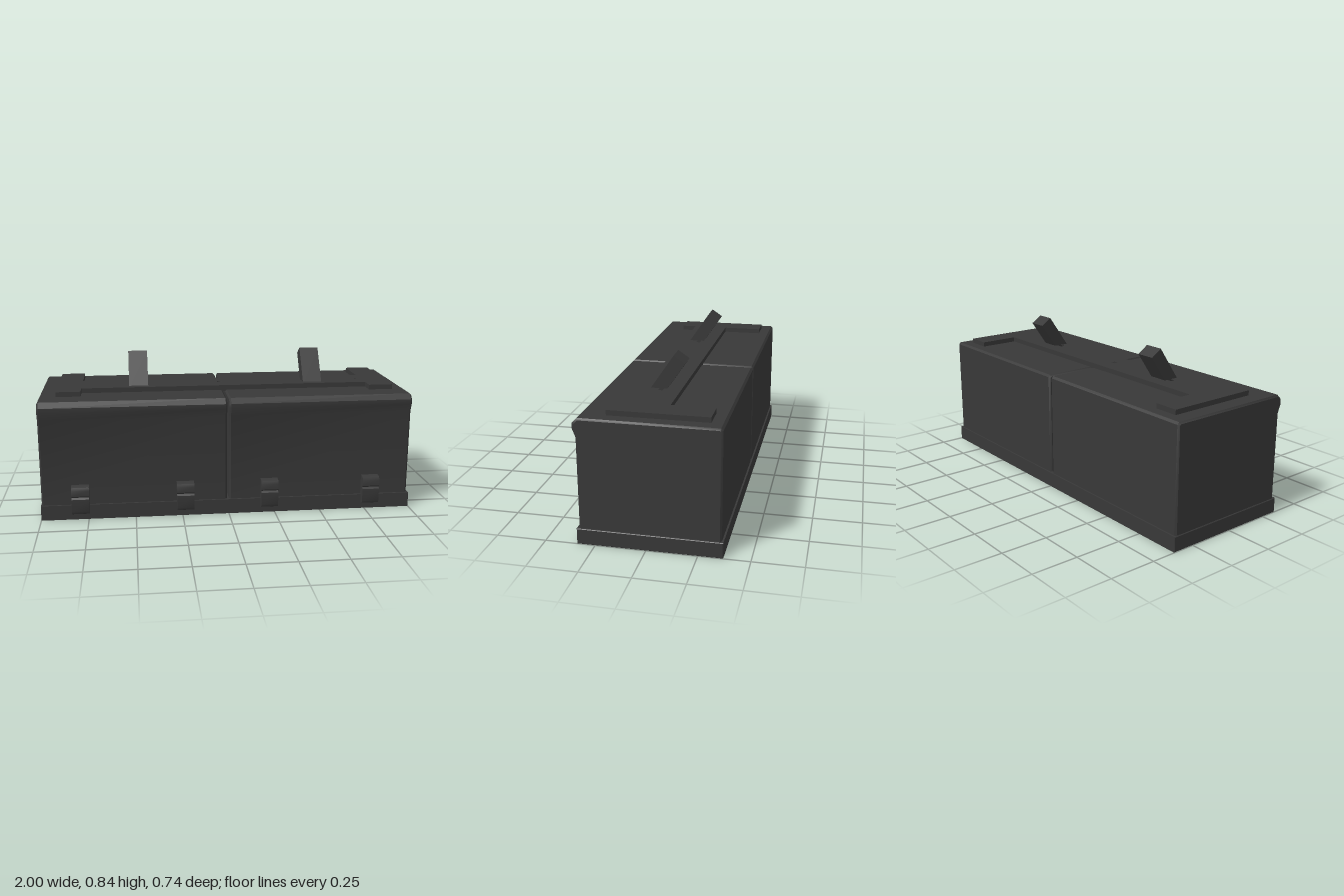
import * as THREE from 'three';
import { toCreasedNormals } from 'three/addons/utils/BufferGeometryUtils.js';

const dark = new THREE.MeshStandardMaterial({ color: 0x383838 });

// Extrudes a side profile of [z, y] points from x0 to x1, with optional bevelled edges
function sideExtrude(name, profile, x0, x1, bevel = 0) {
  const shape = new THREE.Shape(profile.map(([z, y]) => new THREE.Vector2(-z, y)));
  const geo = new THREE.ExtrudeGeometry(shape, {
    depth: x1 - x0 - 2 * bevel,
    bevelEnabled: bevel > 0,
    bevelSize: bevel,
    bevelThickness: bevel,
    bevelOffset: -bevel,
    bevelSegments: 1,
  });
  geo.rotateY(Math.PI / 2).translate(x0 + bevel, 0, 0);
  const mesh = new THREE.Mesh(toCreasedNormals(geo, 0.6), dark);
  mesh.name = name;
  return mesh;
}

export function createModel() {
  const model = new THREE.Group();
  model.name = 'twinCase';

  // Base tray
  model.add(sideExtrude('baseTray', [[0.34, 0], [0.34, 0.08], [-0.37, 0.08], [-0.37, 0]], -1, 1, 0.003));

  // Two box halves with a lipped front edge and a narrow gap between them
  const caseProfile = [
    [0.33, 0.06], [0.33, 0.54], [0.347, 0.585], [0.347, 0.61], [0.32, 0.637],
    [-0.35, 0.637], [-0.361, 0.626], [-0.361, 0.06],
  ];
  model.add(sideExtrude('rightCase', caseProfile, -0.995, -0.009, 0.009));
  model.add(sideExtrude('leftCase', caseProfile, 0.002, 0.99, 0.009));

  // Flat H-shaped top plate with a long centre slot, drawn as [x, z]
  const outline = [
    [-0.905, -0.295], [-0.775, -0.295], [-0.775, -0.077], [0.79, -0.077], [0.79, -0.295], [0.92, -0.295],
    [0.92, 0.2], [0.79, 0.2], [0.79, 0.12], [-0.775, 0.12], [-0.775, 0.2], [-0.905, 0.2],
  ];
  const slot = [[-0.775, 0.012], [0.79, 0.012], [0.79, 0.035], [-0.775, 0.035]];
  const toPoints = (list) => list.map(([x, z]) => new THREE.Vector2(x, -z));
  const plateShape = new THREE.Shape(toPoints(outline));
  plateShape.holes.push(new THREE.Path(toPoints(slot)));
  const plateGeo = new THREE.ExtrudeGeometry(plateShape, { depth: 0.033, bevelEnabled: false });
  plateGeo.rotateX(-Math.PI / 2).translate(0, 0.63, 0);
  const plate = new THREE.Mesh(plateGeo, dark);
  plate.name = 'topPlate';
  model.add(plate);

  // Slanted levers
  const leverProfile = [[0.087, 0.652], [-0.038, 0.836], [-0.096, 0.797], [0.003, 0.652]];
  for (const x of [-0.467, 0.498]) {
    model.add(sideExtrude('lever', leverProfile, x - 0.052, x + 0.052));
  }

  // Front latches with a hinge notch
  const latchProfile = [
    [0.32, 0.034], [0.352, 0.034], [0.366, 0.04], [0.372, 0.054], [0.372, 0.12], [0.362, 0.129],
    [0.372, 0.138], [0.372, 0.168], [0.365, 0.184], [0.35, 0.19], [0.32, 0.19],
  ];
  for (const x of [-0.79, -0.235, 0.218, 0.775]) {
    model.add(sideExtrude('latch', latchProfile, x - 0.046, x + 0.046));
  }

  return model;
}
